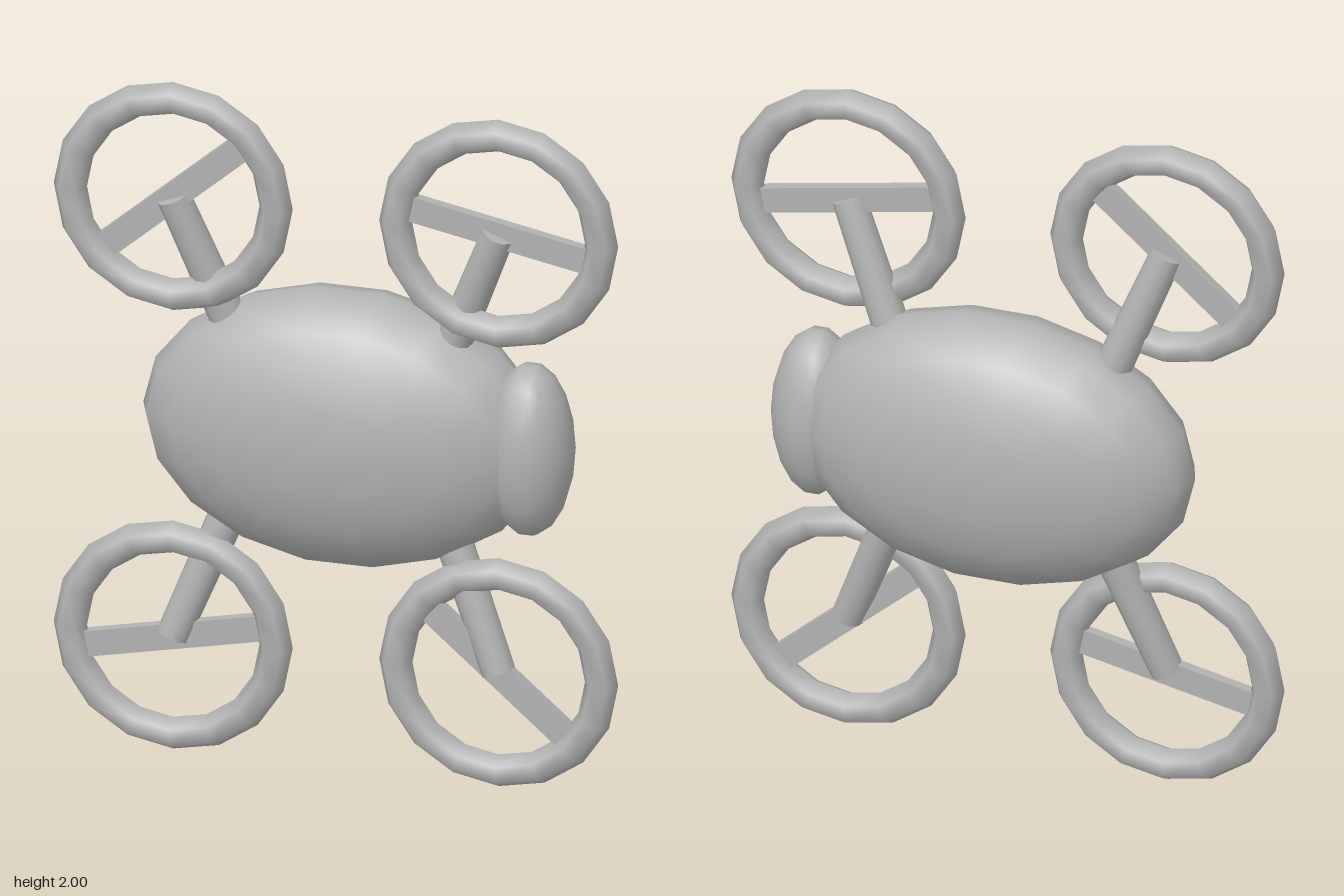
import * as THREE from 'three';

export function createModel() {
  const model = new THREE.Group();
  model.name = 'quadDrone';
  const grey = new THREE.MeshStandardMaterial({ color: 0xb2b2b2 });
  grey.name = 'plain grey';

  function add(parent, name, geometry, x, y, z) {
    const mesh = new THREE.Mesh(geometry, grey);
    mesh.name = name;
    mesh.position.set(x, y, z);
    parent.add(mesh);
    return mesh;
  }

  // Ellipsoid with its poles facing front and back
  function ellipsoid(rx, ry, rz, sides, rings) {
    return new THREE.SphereGeometry(1, sides, rings).rotateX(Math.PI / 2).scale(rx, ry, rz);
  }

  add(model, 'body', ellipsoid(0.58, 0.41, 0.24, 18, 10), 0.01, 1, 0);
  add(model, 'head', ellipsoid(0.125, 0.257, 0.134, 18, 10), 0.54, 1, 0.018);

  // Four rotors: side, up or down, blade angle in degrees
  const rotors = [
    ['upperRightRotor', -1, 1, 41],
    ['upperLeftRotor', 1, 1, -11],
    ['lowerRightRotor', -1, -1, 12],
    ['lowerLeftRotor', 1, -1, -41],
  ];
  const up = new THREE.Vector3(0, 1, 0);
  for (const [name, sx, sy, angle] of rotors) {
    const rotor = new THREE.Group();
    rotor.name = name;
    model.add(rotor);
    const hub = new THREE.Vector3(sx * 0.465, 1 + sy * 0.657, 0.068);
    const root = new THREE.Vector3(sx * 0.3, 1 + sy * 0.24, 0.015);

    // Guard ring
    add(rotor, 'guardRing', new THREE.TorusGeometry(0.294, 0.0475, 6, 16), hub.x, hub.y, hub.z);

    // Blade across the ring
    const blade = add(rotor, 'blade', new THREE.BoxGeometry(0.5, 0.075, 0.03), hub.x, hub.y, hub.z);
    blade.rotation.z = THREE.MathUtils.degToRad(angle);

    // Arm from the body to the ring centre
    const span = hub.clone().sub(root);
    const mid = hub.clone().add(root).multiplyScalar(0.5);
    const arm = add(rotor, 'arm', new THREE.CylinderGeometry(0.047, 0.053, span.length(), 12), mid.x, mid.y, mid.z);
    arm.quaternion.setFromUnitVectors(up, span.normalize());
  }
  return model;
}
